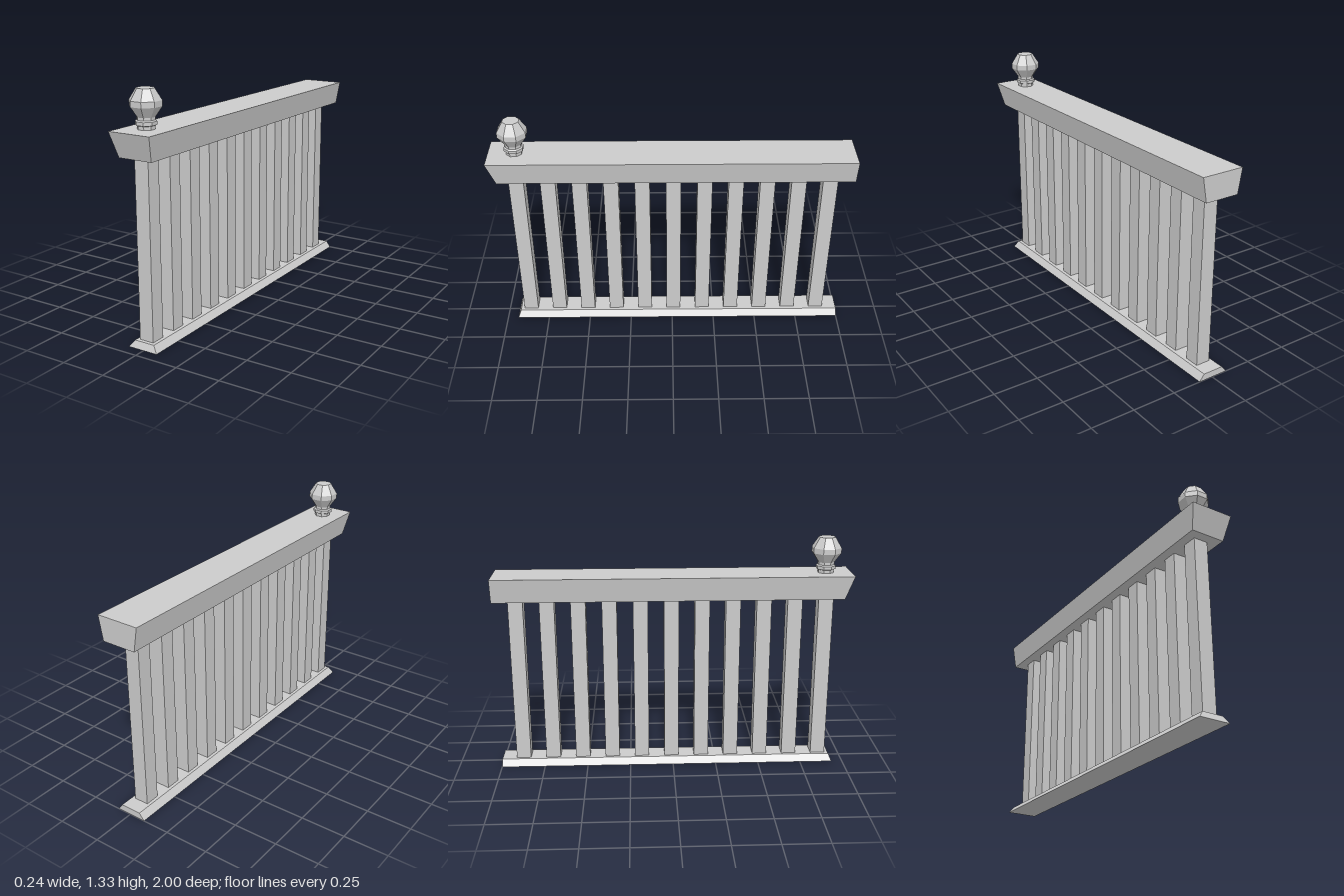
import * as THREE from 'three';

const material = new THREE.MeshStandardMaterial({ color: 0xcccccc, flatShading: true });

function addMesh(group, name, geometry) {
  const mesh = new THREE.Mesh(geometry, material);
  mesh.name = name;
  group.add(mesh);
  return mesh;
}

// Box whose bottom and top rectangles differ: each is [x0, x1, z0, z1]
function taperedBox(y0, y1, bottom, top) {
  const geometry = new THREE.BoxGeometry(1, 1, 1);
  const p = geometry.attributes.position;
  for (let i = 0; i < p.count; i++) {
    const up = p.getY(i) > 0;
    const r = up ? top : bottom;
    p.setXYZ(i, p.getX(i) < 0 ? r[0] : r[1], up ? y1 : y0, p.getZ(i) < 0 ? r[2] : r[3]);
  }
  geometry.computeVertexNormals();
  return geometry;
}

export function createModel() {
  const model = new THREE.Group();
  model.name = 'balustrade';

  // Sloped rails: front and sides taper, back end is cut square
  addMesh(model, 'baseRail', taperedBox(0, 0.037,
    [-0.095, 0.083, -1, 0.938], [-0.065, 0.055, -1, 0.922]));
  addMesh(model, 'handrail', taperedBox(0.995, 1.13,
    [-0.099, 0.097, -1, 0.955], [-0.122, 0.122, -1, 1]));

  // Evenly spaced square balusters
  const count = 11, first = 0.86, last = -0.876;
  const bar = new THREE.BoxGeometry(0.083, 0.962, 0.083);
  for (let i = 0; i < count; i++) {
    const z = first + (last - first) * i / (count - 1);
    addMesh(model, 'baluster' + (i + 1), bar).position.set(-0.006, 0.516, z);
  }

  // Eight-sided finial; profile gives [distance to flat, height]
  const profile = [
    [0, 1.128], [0.042, 1.128], [0.042, 1.148], [0.051, 1.152], [0.051, 1.17],
    [0.043, 1.176], [0.043, 1.19], [0.077, 1.243], [0.077, 1.272], [0.043, 1.33], [0, 1.33],
  ].map(([r, y]) => new THREE.Vector2(r / Math.cos(Math.PI / 8), y));
  const finial = addMesh(model, 'finial', new THREE.LatheGeometry(profile, 8, Math.PI / 8));
  finial.position.set(-0.005, 0, 0.856);

  return model;
}
